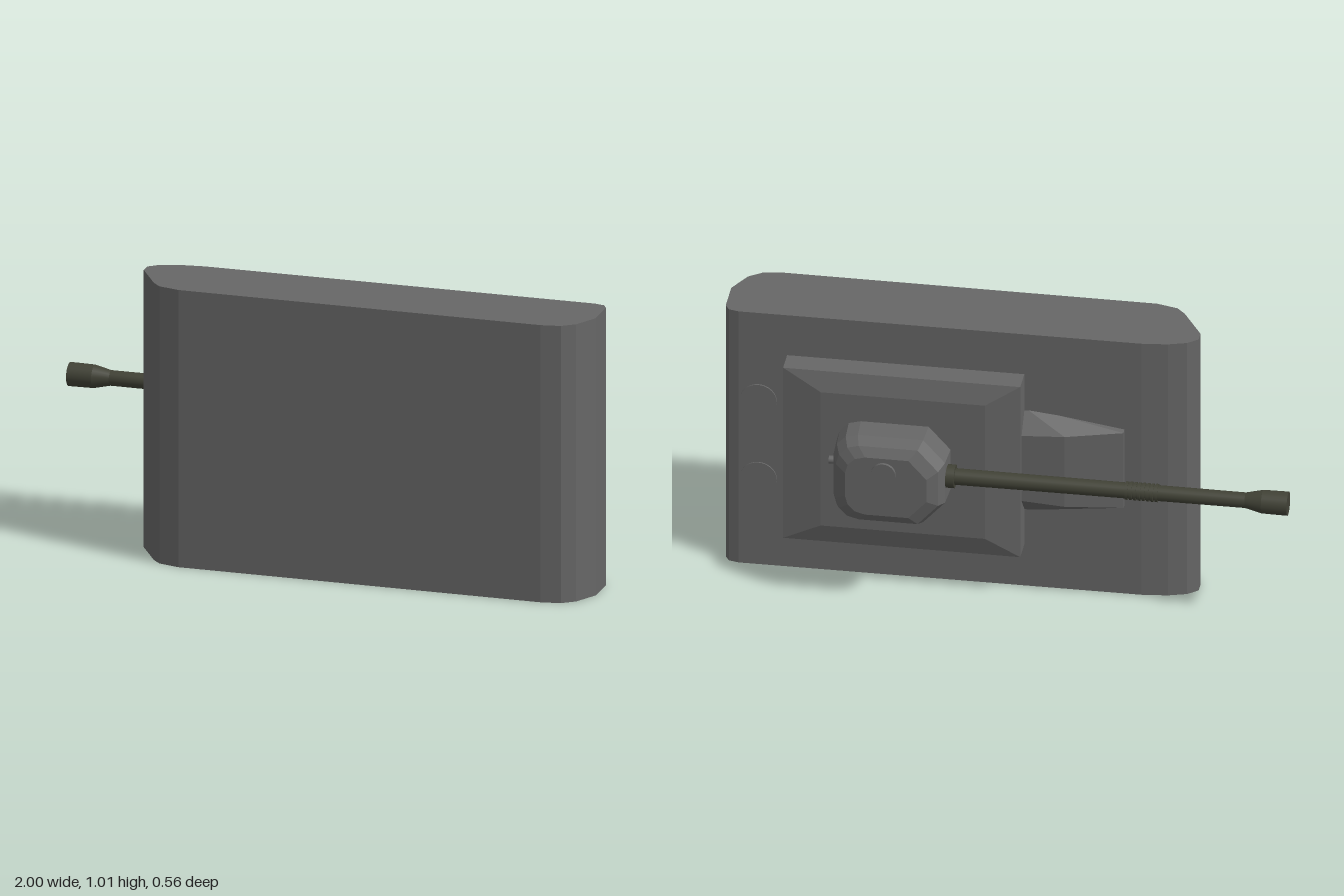
import * as THREE from 'three';
import { ConvexGeometry } from 'three/addons/geometries/ConvexGeometry.js';

// The vehicle lies on its side: its nose points to -x and its roof to -z.
const MID = 0.505; // centre line in y

export function createModel() {
  const group = new THREE.Group();
  const armour = new THREE.MeshStandardMaterial({ color: 0x666666 });
  armour.name = 'grey armour';
  const gunmetal = new THREE.MeshStandardMaterial({ color: 0x414236 });
  gunmetal.name = 'dark olive gun';

  const add = (name, geometry, material = armour) => {
    const mesh = new THREE.Mesh(geometry, material);
    mesh.name = name;
    group.add(mesh);
    return mesh;
  };

  // Corners of a rectangle in the x-y plane at depth z
  const rect = (x0, x1, y0, y1, z) =>
    [[x0, y0], [x1, y0], [x1, y1], [x0, y1]].map(([x, y]) => new THREE.Vector3(x, y, z));

  // Outline with rounded rear corners and chamfered front corners
  const roundedRing = (x0, x1, y0, y1, r, z) => {
    const points = [];
    for (const side of [-1, 1]) {
      const y = side < 0 ? y0 + r : y1 - r;
      for (let i = 0; i <= 3; i++) {
        const a = (i / 3) * Math.PI / 2;
        points.push(new THREE.Vector3(x1 - r + r * Math.cos(a), y + side * r * Math.sin(a), z));
      }
      points.push(new THREE.Vector3(x0, y, z));
      points.push(new THREE.Vector3(x0 + r * 0.9, y + side * r, z));
    }
    return points;
  };

  // Hull: side profile in x-z, extruded over the full width
  const profile = [
    [-0.65, 0.06], [-0.65, 0.1], [-0.575, 0.225], [-0.545, 0.257], [-0.47, 0.277],
    [0.84, 0.28], [0.91, 0.268], [0.955, 0.235], [1, 0.15], [1, 0.03], [0.985, 0.005],
    [0.95, -0.004], [-0.46, 0], [-0.55, 0.01], [-0.615, 0.03],
  ].map(([x, z]) => new THREE.Vector2(x, z));
  const hull = new THREE.ExtrudeGeometry(new THREE.Shape(profile), { depth: 1.008, bevelEnabled: false });
  hull.rotateX(Math.PI / 2).translate(0, 1.008, 0);
  add('hull', hull);

  // Raised deck with a bevelled roof
  add('superstructure', new ConvexGeometry([
    ...rect(-0.05, 0.78, 0.165, 0.848, 0.01),
    ...rect(-0.05, 0.78, 0.165, 0.848, -0.09),
    ...rect(0.07, 0.645, 0.24, 0.775, -0.112),
  ]));

  // Sloped fairing ahead of the deck
  const fairing = [];
  for (const s of [-1, 1]) {
    for (const [x, half, z] of [
      [-0.04, 0.21, 0.01], [-0.4, 0.155, 0.01], [-0.4, 0.15, -0.02],
      [-0.2, 0.14, -0.062], [-0.04, 0.13, -0.062],
    ]) fairing.push(new THREE.Vector3(x, MID + s * half, z));
  }
  add('frontFairing', new ConvexGeometry(fairing));

  // Turret: straight walls closing in over a rounded roof
  add('turret', new ConvexGeometry([
    ...roundedRing(0.19, 0.59, 0.343, 0.672, 0.085, -0.1),
    ...roundedRing(0.195, 0.585, 0.343, 0.672, 0.085, -0.205),
    ...roundedRing(0.212, 0.57, 0.36, 0.655, 0.08, -0.25),
    ...roundedRing(0.25, 0.535, 0.393, 0.622, 0.07, -0.27),
  ]));

  // Round covers facing the roof side
  const disc = (name, x, y, r, z0, z1) => {
    const g = new THREE.CylinderGeometry(r, r, z0 - z1, 32);
    g.rotateX(-Math.PI / 2).translate(x, y, (z0 + z1) / 2);
    add(name, g);
  };
  disc('turretHatch', 0.4, 0.563, 0.043, -0.26, -0.281);
  disc('engineCoverUpper', 0.88, 0.657, 0.065, 0.01, -0.009);
  disc('engineCoverLower', 0.88, 0.345, 0.065, 0.01, -0.009);

  // Parts turned around an axis along x
  const rod = (name, x0, x1, r0, r1, material, y = 0.513, z = -0.165) => {
    const g = new THREE.CylinderGeometry(r1, r0, x1 - x0, 24);
    g.rotateZ(-Math.PI / 2).translate((x0 + x1) / 2, y, z);
    add(name, g, material);
  };
  rod('rearPort', 0.57, 0.605, 0.014, 0.014, armour, 0.548, -0.178);
  rod('gunCollar', 0.165, 0.21, 0.041, 0.041, gunmetal);
  rod('gunBarrel', -0.88, 0.2, 0.027, 0.029, gunmetal);
  rod('muzzle', -1, -0.91, 0.042, 0.041, gunmetal);
  rod('muzzleTaper', -0.91, -0.85, 0.041, 0.027, gunmetal);
  for (let i = 0; i < 8; i++) {
    const x = -0.545 + i * 0.015;
    rod('barrelRing', x, x + 0.009, 0.032, 0.032, gunmetal);
  }
  return group;
}
